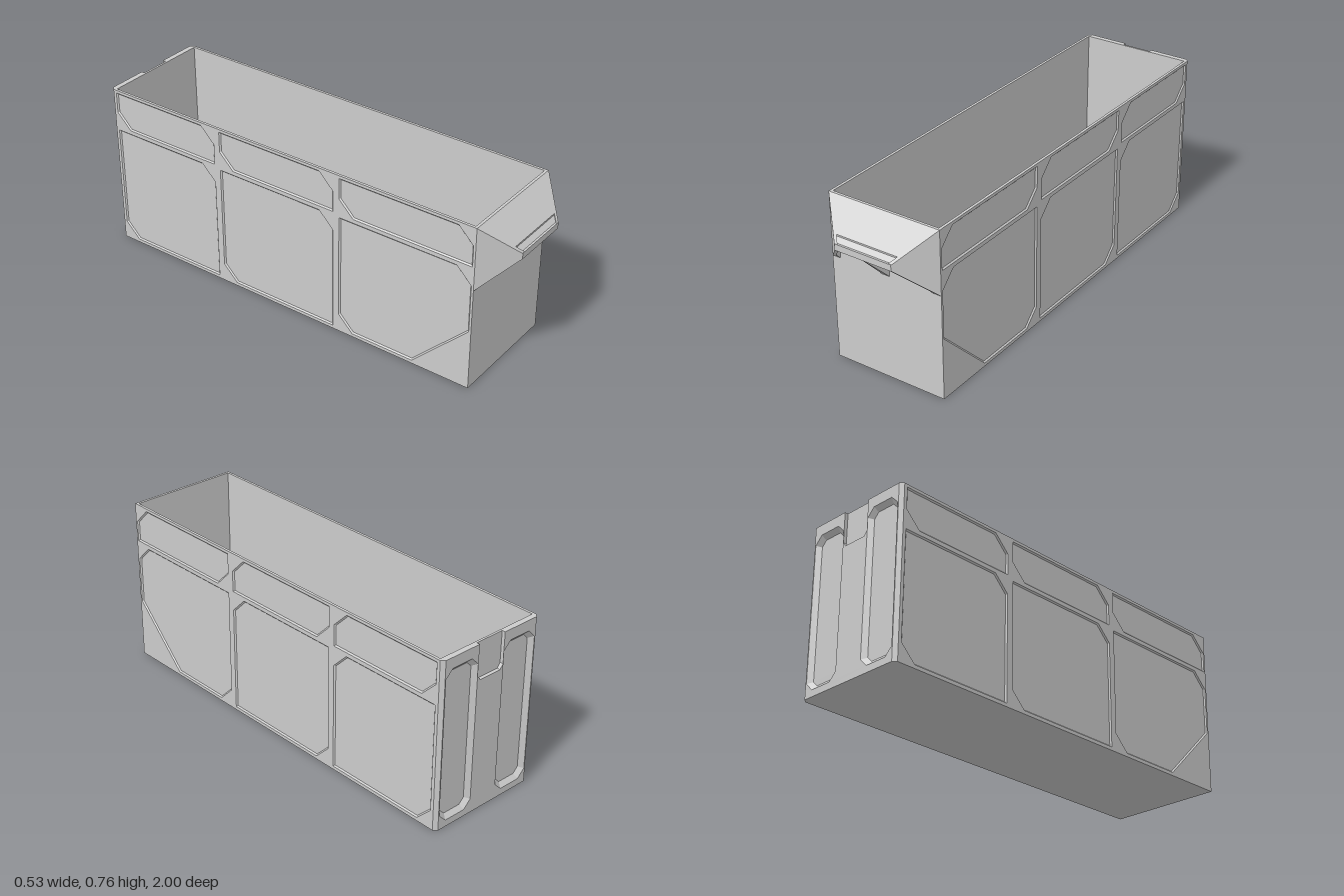
import * as THREE from 'three';

const W = 0.265, H = 0.758, ZF = 0.87, ZB = -1, CH = 0.015; // half width, height, front, back, corner chamfer
const IX = 0.253, IF = 0.858, IB = -0.975, FLOOR = 0.015;   // inner cavity
const mat = new THREE.MeshStandardMaterial({ color: 0xcccccc, flatShading: true });

function mesh(name, geo) {
  const m = new THREE.Mesh(geo, mat);
  m.name = name;
  return m;
}

// Flat polygons, each a fan around its first corner
function faces(polys) {
  const pos = [];
  for (const p of polys)
    for (let i = 1; i < p.length - 1; i++) pos.push(...p[0], ...p[i], ...p[i + 1]);
  const g = new THREE.BufferGeometry();
  g.setAttribute('position', new THREE.Float32BufferAttribute(pos, 3));
  g.computeVertexNormals();
  return g;
}

// Solid between two matching loops (counter-clockwise seen from the b end)
function prism(a, b) {
  const polys = [b, [a[0], ...a.slice(1).reverse()]];
  a.forEach((p, i) => {
    const j = (i + 1) % a.length;
    polys.push([p, a[j], b[j], b[i]]);
  });
  return faces(polys);
}

const vecs = pts => pts.map(([x, y]) => new THREE.Vector2(x, y));

function sheet(outline, holes = []) {
  const s = new THREE.Shape(vecs(outline));
  holes.forEach(h => s.holes.push(new THREE.Path(vecs(h))));
  return new THREE.ShapeGeometry(s);
}

// Offset a convex counter-clockwise outline inwards
function inset(pts, d) {
  const n = pts.length;
  return pts.map((p, i) => {
    const a = pts[(i + n - 1) % n], b = pts[(i + 1) % n];
    const l1 = Math.hypot(p[0] - a[0], p[1] - a[1]), l2 = Math.hypot(b[0] - p[0], b[1] - p[1]);
    const n1 = [-(p[1] - a[1]) / l1, (p[0] - a[0]) / l1];
    const n2 = [-(b[1] - p[1]) / l2, (b[0] - p[0]) / l2];
    const k = d / (1 + n1[0] * n2[0] + n1[1] * n2[1]);
    return [p[0] + k * (n1[0] + n2[0]), p[1] + k * (n1[1] + n2[1])];
  });
}

// Sunken tray behind a hole in a face; open leaves out the last edge
function recess(name, pts, bevel, depth, open = false) {
  const low = bevel ? inset(pts, bevel) : pts;
  const polys = [low.map(p => [...p, -depth])];
  pts.forEach((p, i) => {
    const j = (i + 1) % pts.length;
    if (open && j === 0) return;
    polys.push([[...p, 0], [...pts[j], 0], [...low[j], -depth], [...low[i], -depth]]);
  });
  return mesh(name, faces(polys));
}

// Panel outline with a cut at lower left (a), lower right (b), upper right (c), upper left (d)
function panel(x0, x1, y0, y1, a, b, c, d) {
  const p = [];
  p.push(...(a ? [[x0, y0 + a], [x0 + a, y0]] : [[x0, y0]]));
  p.push(...(b ? [[x1 - b, y0], [x1, y0 + b]] : [[x1, y0]]));
  p.push(...(c ? [[x1, y1 - c], [x1 - c, y1]] : [[x1, y1]]));
  p.push(...(d ? [[x0 + d, y1], [x0, y1 - d]] : [[x0, y1]]));
  return p;
}

// Long wall with two rows of sunken panels, facing +x
function sideWall() {
  const g = new THREE.Group();
  const holes = [];
  [[-0.86, -0.23], [-0.2, 0.39], [0.42, 0.97]].forEach(([u0, u1], i) => {
    holes.push(panel(u0, u1, 0.015, 0.562, i ? 0 : 0.26, 0.07, 0, 0.07));
    holes.push(panel(u0, u1, 0.58, 0.745, 0, 0.07, 0, 0.07));
  });
  g.add(mesh('sideFace', sheet([[-ZF, 0], [-ZB - CH, 0], [-ZB - CH, H], [-ZF, H]], holes)));
  holes.forEach(h => g.add(recess('sidePanel', h, 0.006, 0.006)));
  g.rotation.y = Math.PI / 2;
  g.position.x = W;
  return g;
}

// Rear wall with two upright channels and a notch open at the top
function backWall() {
  const g = new THREE.Group();
  g.name = 'backWall';
  const x = W - CH;
  const notch = [[-0.07, H], [-0.07, 0.62], [-0.055, 0.6], [0.055, 0.6], [0.07, 0.62], [0.07, H]];
  const channels = [
    panel(-0.245, -0.072, 0.03, 0.71, 0.035, 0.035, 0.035, 0.035),
    panel(0.072, 0.245, 0.03, 0.71, 0.035, 0.035, 0.035, 0.035),
  ];
  g.add(mesh('backFace', sheet([[-x, H], [-x, 0], [x, 0], [x, H], ...[...notch].reverse()], channels)));
  channels.forEach(c => g.add(recess('backChannel', c, 0.02, 0.018)));
  g.add(recess('backNotch', notch, 0, 0.015, true));
  g.rotation.y = Math.PI;
  g.position.z = ZB;
  return g;
}

// Hooded pull handle on the front
function handle() {
  const g = new THREE.Group();
  g.name = 'handle';
  const upright = (plan, top) => prism(
    plan.map(([x, z]) => [x, 0.473 + z - ZF, z]),
    plan.map(([x, z]) => [x, top - (z - ZF), z]));

  // Slanted hood with a small step above its front lip
  const section = [[0.985, 0.602], [0.87, 0.718], [0.87, H], [0.973, 0.655], [0.973, 0.648],
    [0.991, 0.63], [1, 0.63], [1, 0.602]];
  const edge = s => section.map(([z, y]) => [s * (1.134 - z), y, z]);
  g.add(mesh('handleHood', prism(edge(-1), edge(1))));

  // Cheeks at both ends
  const cheek = [[0.225, 0.894], [0.119, 1], [0.135, 1], [W, ZF], [0.225, ZF]];
  for (const s of [1, -1]) {
    const m = mesh(s > 0 ? 'leftHandleCheek' : 'rightHandleCheek', upright(cheek, H));
    m.scale.x = s;
    g.add(m);
  }

  // Tapered rib in the middle
  g.add(mesh('handleRib', upright([[-0.018, ZF], [-0.003, 0.999], [0.003, 0.999], [0.018, ZF]], 0.735)));
  return g;
}

export function createModel() {
  const model = new THREE.Group();
  model.name = 'storageBin';

  // Long walls and chamfered rear corners, mirrored
  for (const s of [1, -1]) {
    const half = new THREE.Group();
    half.name = s > 0 ? 'leftWall' : 'rightWall';
    half.add(sideWall());
    half.add(mesh('rearCorner', faces([[[W, 0, ZB + CH], [W - CH, 0, ZB], [W - CH, H, ZB], [W, H, ZB + CH]]])));
    half.scale.x = s;
    model.add(half);
  }
  model.add(backWall());
  model.add(mesh('frontWall', faces([[[-W, 0, ZF], [W, 0, ZF], [W, H, ZF], [-W, H, ZF]]])));

  // Underside
  const c = W - CH;
  const base = sheet([[-W, ZF], [-W, ZB + CH], [-c, ZB], [c, ZB], [W, ZB + CH], [W, ZF]]);
  model.add(mesh('underside', base.rotateX(Math.PI / 2)));

  // Rim around the opening, cut by the rear notch
  const n = 0.07;
  const rim = sheet(
    [[-W, -ZF], [W, -ZF], [W, -ZB - CH], [c, -ZB], [n, -ZB], [n, -ZB - 0.015],
      [-n, -ZB - 0.015], [-n, -ZB], [-c, -ZB], [-W, -ZB - CH]],
    [[[-IX, -IF], [IX, -IF], [IX, -IB], [-IX, -IB]]]);
  model.add(mesh('rim', rim.rotateX(-Math.PI / 2).translate(0, H, 0)));

  // Inside walls and floor
  const loop = [[-IX, IF], [IX, IF], [IX, IB], [-IX, IB]];
  const at = ([x, z], y) => [x, y, z];
  const inner = [loop.map(p => at(p, FLOOR))];
  loop.forEach((p, i) => {
    const q = loop[(i + 1) % 4];
    inner.push([at(q, FLOOR), at(p, FLOOR), at(p, H), at(q, H)]);
  });
  model.add(mesh('interior', faces(inner)));

  model.add(handle());
  return model;
}
